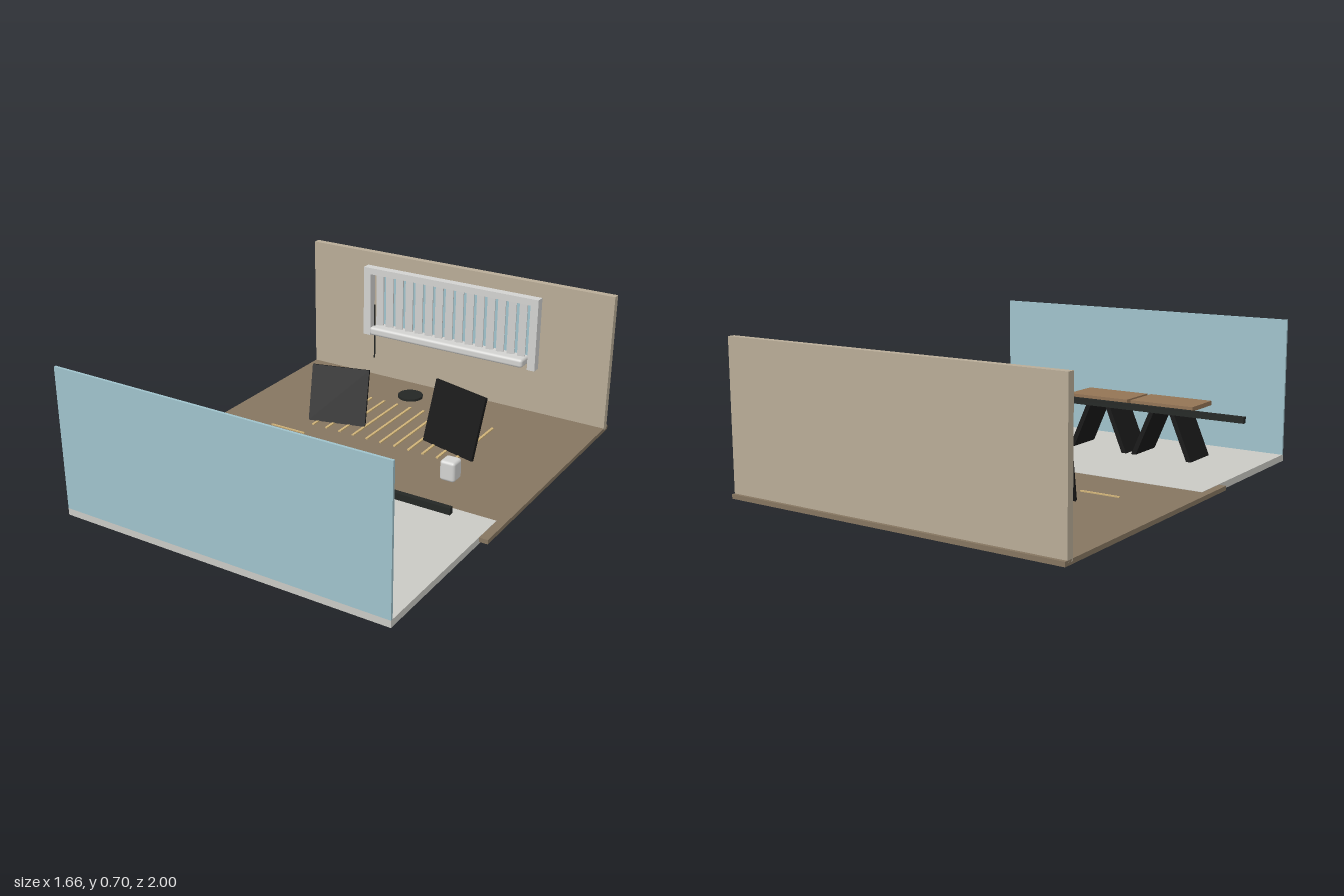
import * as THREE from 'three';
import { RoundedBoxGeometry } from 'three/addons/geometries/RoundedBoxGeometry.js';

const mat = (name, color) => {
  const m = new THREE.MeshStandardMaterial({ color });
  m.name = name;
  return m;
};

export function createModel() {
  const root = new THREE.Group();
  root.name = 'room';

  const brown = mat('floor brown', 0x857560);
  const stone = mat('patio grey', 0xc9c9c4);
  const beige = mat('wall beige', 0xb8ac97);
  const glass = mat('pale blue glass', 0x9fc2cb);
  const white = mat('window white', 0xd2d2d0);
  const black = mat('black', 0x171717);
  const charcoal = mat('charcoal', 0x242725);
  const tan = mat('tan slat', 0xcfb278);
  const wood = mat('table wood', 0x937455);
  const blue = mat('blue', 0x215fc9);

  const add = (name, geometry, material, parent = root) => {
    const mesh = new THREE.Mesh(geometry, material);
    mesh.name = name;
    parent.add(mesh);
    return mesh;
  };
  // Box from its extents on each axis; a radius rounds its edges
  const box = (name, material, [x0, x1], [y0, y1], [z0, z1], parent = root, radius = 0) => {
    const size = [x1 - x0, y1 - y0, z1 - z0];
    const g = radius ? new RoundedBoxGeometry(...size, 3, radius) : new THREE.BoxGeometry(...size);
    const mesh = add(name, g, material, parent);
    mesh.position.set((x0 + x1) / 2, (y0 + y1) / 2, (z0 + z1) / 2);
    return mesh;
  };
  const group = (name) => {
    const g = new THREE.Group();
    g.name = name;
    root.add(g);
    return g;
  };

  // Floors and walls
  box('innerFloor', brown, [-0.83, 0.83], [0.01, 0.03], [-1, 0.295]);
  box('outerFloor', stone, [-0.795, 0.79], [0, 0.0315], [0.135, 1]);
  box('backWall', beige, [-0.83, 0.83], [0.02, 0.698], [-0.985, -0.95]);
  box('glassWall', glass, [-0.795, 0.79], [0.03, 0.68], [0.988, 1]);

  // Window with vertical blind
  const win = group('window');
  box('topRail', white, [-0.485, 0.482], [0.605, 0.638], [-0.923, -0.88], win);
  for (const [a, b] of [[-0.485, -0.445], [0.442, 0.482]])
    box('framePost', white, [a, b], [0.275, 0.61], [-0.923, -0.88], win);
  box('windowPane', glass, [-0.432, 0.428], [0.31, 0.597], [-0.934, -0.926], win);
  box('sill', white, [-0.432, 0.428], [0.288, 0.332], [-0.953, -0.848], win, 0.014);
  for (let i = 0; i < 15; i++) {
    const x = -0.4 + i * 0.057;
    box('blindSlat', white, [x - 0.019, x + 0.019], [0.32, 0.61], [-0.909, -0.897], win).rotation.y = 0.25;
  }
  add('blindWand', new THREE.CylinderGeometry(0.004, 0.004, 0.29, 8), charcoal, win)
    .position.set(-0.42, 0.3, -0.883);

  // Floor slats
  const slats = group('floorSlats');
  for (let i = 0; i < 11; i++) {
    const x = -0.38 + i * 0.0758;
    box('floorSlat', tan, [x - 0.006, x + 0.006], [0.03, 0.036], [-0.665, -0.242], slats);
  }
  box('looseSlat', tan, [-0.55, -0.36], [0.03, 0.036], [-0.143, -0.135], slats);

  // Low dark disc and small rounded block
  add('floorDisc', new THREE.CylinderGeometry(0.063, 0.063, 0.012, 32), charcoal)
    .position.set(-0.147, 0.036, -0.787);
  box('smallBlock', white, [0.41, 0.485], [0.03, 0.127], [-0.138, -0.062], root, 0.014);

  // Leaning panels, turned toward each other
  const panel = (name, x, z, width, height, turn) => {
    const tilt = 0.27;
    const p = add(name, new THREE.BoxGeometry(width, height, 0.015), black);
    p.rotation.set(-tilt, turn, 0, 'YXZ');
    p.position.set(x, 0.032 + (height * Math.cos(tilt)) / 2, z);
  };
  panel('leaningPanelRight', -0.3, -0.354, 0.285, 0.275, 0.26);
  panel('leaningPanelLeft', 0.318, -0.376, 0.308, 0.302, -0.27);

  // Cross rail
  box('crossRail', charcoal, [-0.793, 0.788], [0.258, 0.287], [0.537, 0.56]);

  // Tables on splayed plate legs
  for (const cx of [-0.348, -0.002]) {
    const table = group('table');
    box('tableTop', wood, [cx - 0.163, cx + 0.163], [0.274, 0.295], [0.592, 0.792], table);
    for (const s of [-1, 1]) {
      const leg = new THREE.Shape([
        [0.03, 0.275], [0.055, 0.275], [0.16, 0.03], [0.135, 0.03],
      ].map(([x, y]) => new THREE.Vector2(s * x, y)));
      add('tableLeg', new THREE.ExtrudeGeometry(leg, { depth: 0.19, bevelEnabled: false }), black, table)
        .position.set(cx, 0, 0.597);
    }
  }

  // Rounded cube seat
  box('cubeSeat', blue, [0.312, 0.562], [0.03, 0.253], [0.615, 0.84], root, 0.02);

  return root;
}
